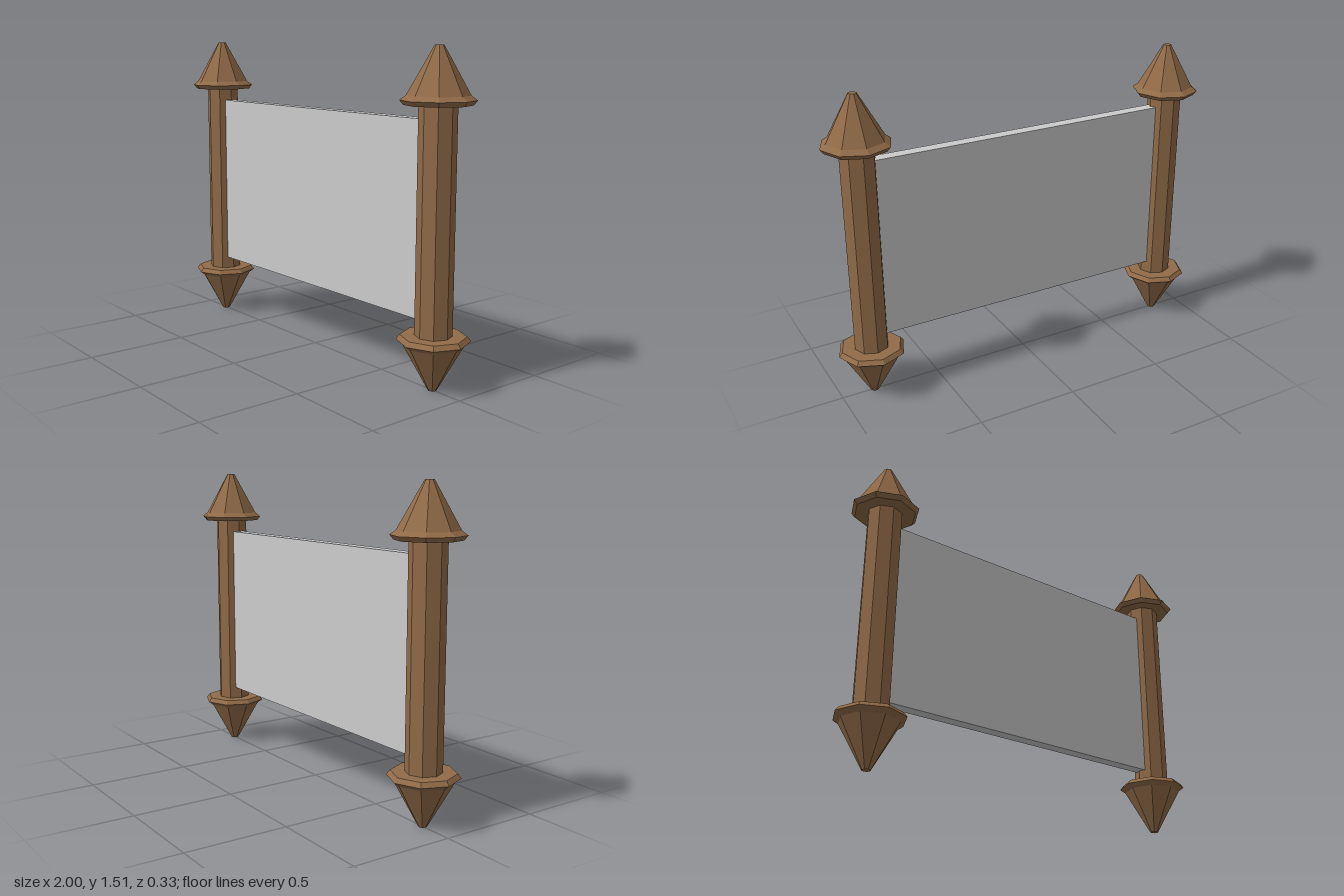
import * as THREE from 'three';

const SIDES = 8;
const HEIGHT = 1.514;
const POST_X = 0.835;

export function createModel() {
  const model = new THREE.Group();
  model.name = 'bannerOnPosts';

  const wood = new THREE.MeshStandardMaterial({ color: 0x916b48, flatShading: true });
  const grey = new THREE.MeshStandardMaterial({ color: 0xcccccc, flatShading: true });

  function add(parent, name, geometry, material, y) {
    const mesh = new THREE.Mesh(geometry, material);
    mesh.name = name;
    mesh.position.y = y;
    parent.add(mesh);
    return mesh;
  }

  // Pointed finial: closed underside, bevelled rim, cone and small flat tip
  const finialProfile = [
    [0, 0], [0.148, 0], [0.165, 0.021], [0.138, 0.041], [0.02, 0.252], [0, 0.252],
  ].map(([r, y]) => new THREE.Vector2(r, y));
  const finialGeometry = new THREE.LatheGeometry(finialProfile, SIDES);
  const shaftGeometry = new THREE.CylinderGeometry(0.084, 0.084, HEIGHT - 0.5, SIDES);

  // Two octagonal posts, each with a finial at both ends
  for (const [side, label] of [[1, 'left'], [-1, 'right']]) {
    const post = new THREE.Group();
    post.name = label + 'Post';
    post.position.x = side * POST_X;
    add(post, label + 'Shaft', shaftGeometry, wood, HEIGHT / 2);
    add(post, label + 'TopFinial', finialGeometry, wood, HEIGHT - 0.252);
    add(post, label + 'BottomFinial', finialGeometry, wood, 0.252).rotation.x = Math.PI;
    model.add(post);
  }

  // Flat panel whose ends are set into the posts
  add(model, 'panel', new THREE.BoxGeometry(1.58, 0.888, 0.06), grey, HEIGHT / 2);

  return model;
}
